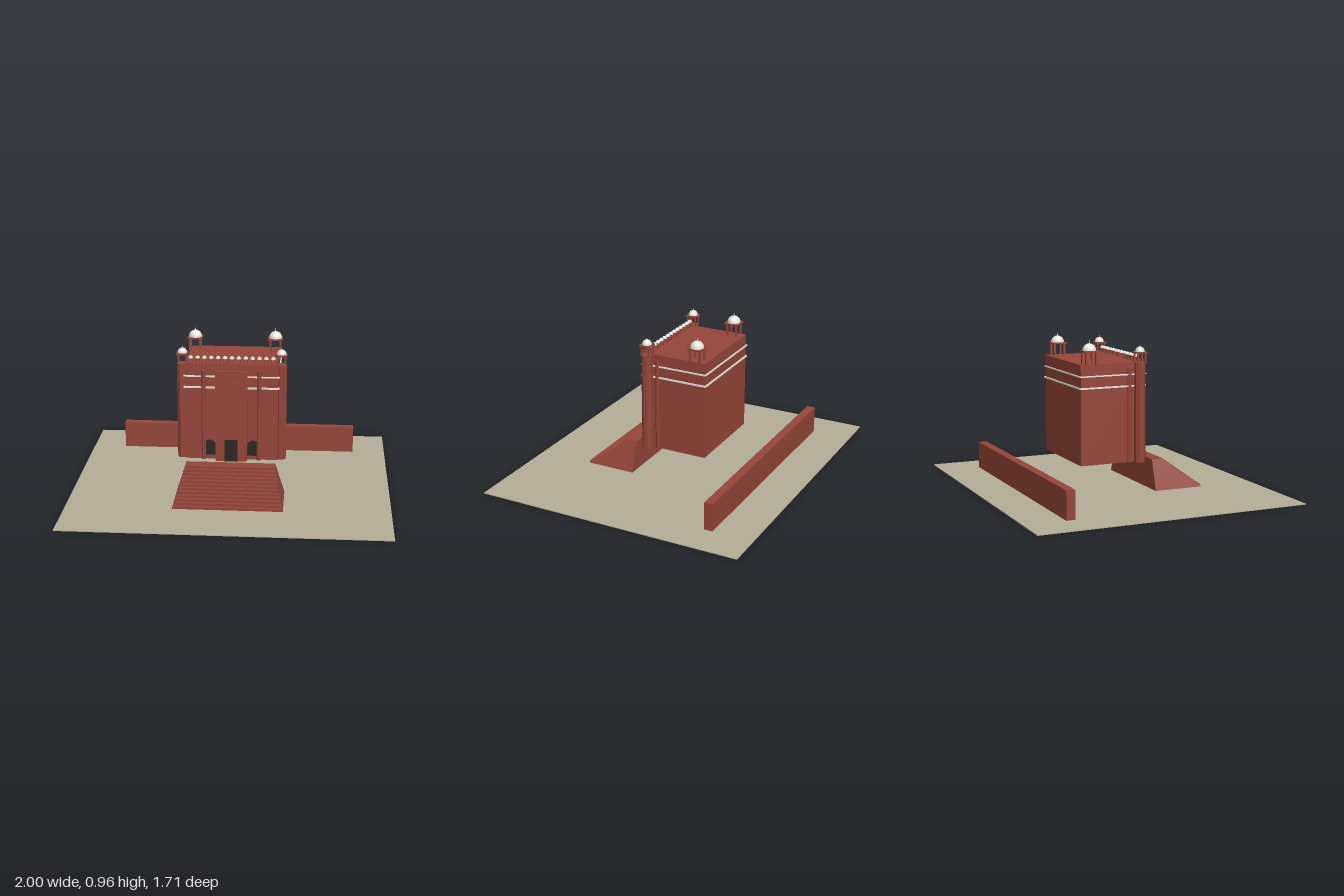
import * as THREE from 'three';

const mat = (name, color) => Object.assign(new THREE.MeshStandardMaterial({ color }), { name });

export function createModel() {
  const model = new THREE.Group();
  model.name = 'gateway';
  const red = mat('red sandstone', 0x964639);
  const marble = mat('white marble', 0xe6e5de);
  const dark = mat('dark opening', 0x2c2725);
  const earth = mat('ground', 0xb6ae99);

  const add = (name, geo, material, parent = model) => {
    const mesh = new THREE.Mesh(geo, material);
    mesh.name = name;
    parent.add(mesh);
    return mesh;
  };
  // Box given by its limits on each axis
  const box = (name, x0, x1, y0, y1, z0, z1, material, parent) => {
    const g = new THREE.BoxGeometry(x1 - x0, y1 - y0, z1 - z0);
    g.translate((x0 + x1) / 2, (y0 + y1) / 2, (z0 + z1) / 2);
    return add(name, g, material, parent);
  };
  // Eight-sided upright shaft
  const shaft = (name, x, z, r, y0, y1, parent) => {
    const g = new THREE.CylinderGeometry(r, r, y1 - y0, 8).toNonIndexed();
    g.rotateY(Math.PI / 8);
    g.computeVertexNormals();
    g.translate(x, (y0 + y1) / 2, z);
    return add(name, g, red, parent);
  };
  // Round-headed panel standing on y0, between z0 and z1
  const archPanel = (name, x, half, y0, spring, z0, z1, material) => {
    const s = new THREE.Shape();
    s.moveTo(-half, y0);
    s.lineTo(half, y0);
    s.lineTo(half, spring);
    s.absarc(0, spring, half, 0, Math.PI, false);
    s.closePath();
    const g = new THREE.ExtrudeGeometry(s, { depth: z1 - z0, bevelEnabled: false, curveSegments: 20 });
    g.translate(x, 0, z0);
    return add(name, g, material);
  };

  // Ground and rear wall
  box('ground', -1, 1, 0, 0.005, -0.857, 0.857, earth);
  box('rearWall', -0.785, 0.785, 0.005, 0.18, -0.6, -0.545, red);

  // Staircase: stepped profile extruded sideways, narrowing with height
  const steps = 12, rise = 0.19 / steps, tread = 0.0215;
  const profile = new THREE.Shape();
  profile.moveTo(-0.185, 0);
  profile.lineTo(-0.5, 0);
  for (let i = 0; i < steps; i++) {
    profile.lineTo(-0.5 + i * tread, (i + 1) * rise);
    profile.lineTo(i === steps - 1 ? -0.185 : -0.5 + (i + 1) * tread, (i + 1) * rise);
  }
  profile.closePath();
  const stair = new THREE.ExtrudeGeometry(profile, { depth: 0.68, bevelEnabled: false });
  stair.translate(0, 0, -0.34);
  stair.rotateY(Math.PI / 2);
  const p = stair.attributes.position;
  for (let i = 0; i < p.count; i++) {
    p.setX(i, p.getX(i) * (1 - 0.176 * p.getY(i) / 0.19));
    p.setZ(i, p.getZ(i));
  }
  stair.translate(0, 0.005, 0);
  stair.computeVertexNormals();
  add('staircase', stair, red);

  // Main block with two marble bands
  box('mainBlock', -0.29, 0.29, 0.195, 0.815, -0.3, 0.125, red);
  box('lowerBand', -0.298, 0.298, 0.665, 0.675, -0.308, 0.134, marble);
  box('upperBand', -0.298, 0.298, 0.738, 0.746, -0.308, 0.134, marble);

  // Central portal
  box('portalFrame', -0.1, 0.1, 0.195, 0.78, 0.12, 0.15, red);
  archPanel('portalArch', 0, 0.099, 0.195, 0.621, 0.15, 0.164, red);
  box('door', -0.04, 0.04, 0.195, 0.338, 0.164, 0.172, dark);

  // Small parapet blocks along the front
  for (let i = 0; i < 20; i++) {
    const x = -0.276 + i * 0.552 / 19;
    box('parapetBlock', x - 0.008, x + 0.008, 0.81, 0.828, 0.12, 0.132, red);
  }

  // Hemispherical dome with a finial
  const dome = (parent, r, h, tip, y) => {
    const pts = [];
    for (let i = 0; i <= 8; i++) {
      const a = (i / 8) * Math.PI / 2;
      pts.push(new THREE.Vector2(Math.max(r * Math.cos(a), 0), h * Math.sin(a)));
    }
    add('dome', new THREE.LatheGeometry(pts, 20), marble, parent).position.y = y;
    const f = new THREE.ConeGeometry(r * 0.1, tip, 8);
    f.translate(0, y + h + tip / 2 - 0.002, 0);
    add('finial', f, marble, parent);
  };
  // Open domed pavilion on four posts
  const pavilion = (name, x, z, half, slabY, r, h, tip) => {
    const g = new THREE.Group();
    g.name = name;
    g.position.set(x, 0, z);
    const o = half * 0.68, w = half * 0.13;
    for (const sx of [-1, 1]) for (const sz of [-1, 1])
      box('post', sx * o - w, sx * o + w, 0.81, slabY, sz * o - w, sz * o + w, red, g);
    box('slab', -half, half, slabY, slabY + 0.009, -half, half, red, g);
    dome(g, r, h, tip, slabY + 0.009);
    model.add(g);
  };

  for (const s of [-1, 1]) {
    // Corner turrets, slim shafts and niches, mirrored
    shaft('cornerTurret', s * 0.31, 0.085, 0.035, 0.195, 0.815);
    shaft('frontShaft', s * 0.174, 0.128, 0.015, 0.195, 0.783);
    shaft('sideShaft', s * 0.29, 0.024, 0.014, 0.195, 0.78);
    archPanel('niche', s * 0.137, 0.037, 0.222, 0.285, 0.124, 0.13, dark);
    pavilion('frontPavilion', s * 0.308, 0.085, 0.036, 0.872, 0.03, 0.031, 0.016);
    pavilion('rearPavilion', s * 0.258, -0.23, 0.047, 0.889, 0.042, 0.042, 0.024);
  }

  // Row of little domed kiosks on the front edge of the roof
  for (let i = 0; i < 13; i++) {
    const g = new THREE.Group();
    g.name = 'kiosk';
    g.position.set(-0.257 + i * 0.0428, 0, 0.085);
    for (const sx of [-1, 1]) for (const sz of [-1, 1])
      box('kioskPost', sx * 0.011 - 0.002, sx * 0.011 + 0.002, 0.81, 0.843, sz * 0.011 - 0.002, sz * 0.011 + 0.002, red, g);
    box('kioskSlab', -0.015, 0.015, 0.842, 0.846, -0.015, 0.015, red, g);
    dome(g, 0.015, 0.016, 0.008, 0.846);
    model.add(g);
  }
  return model;
}
